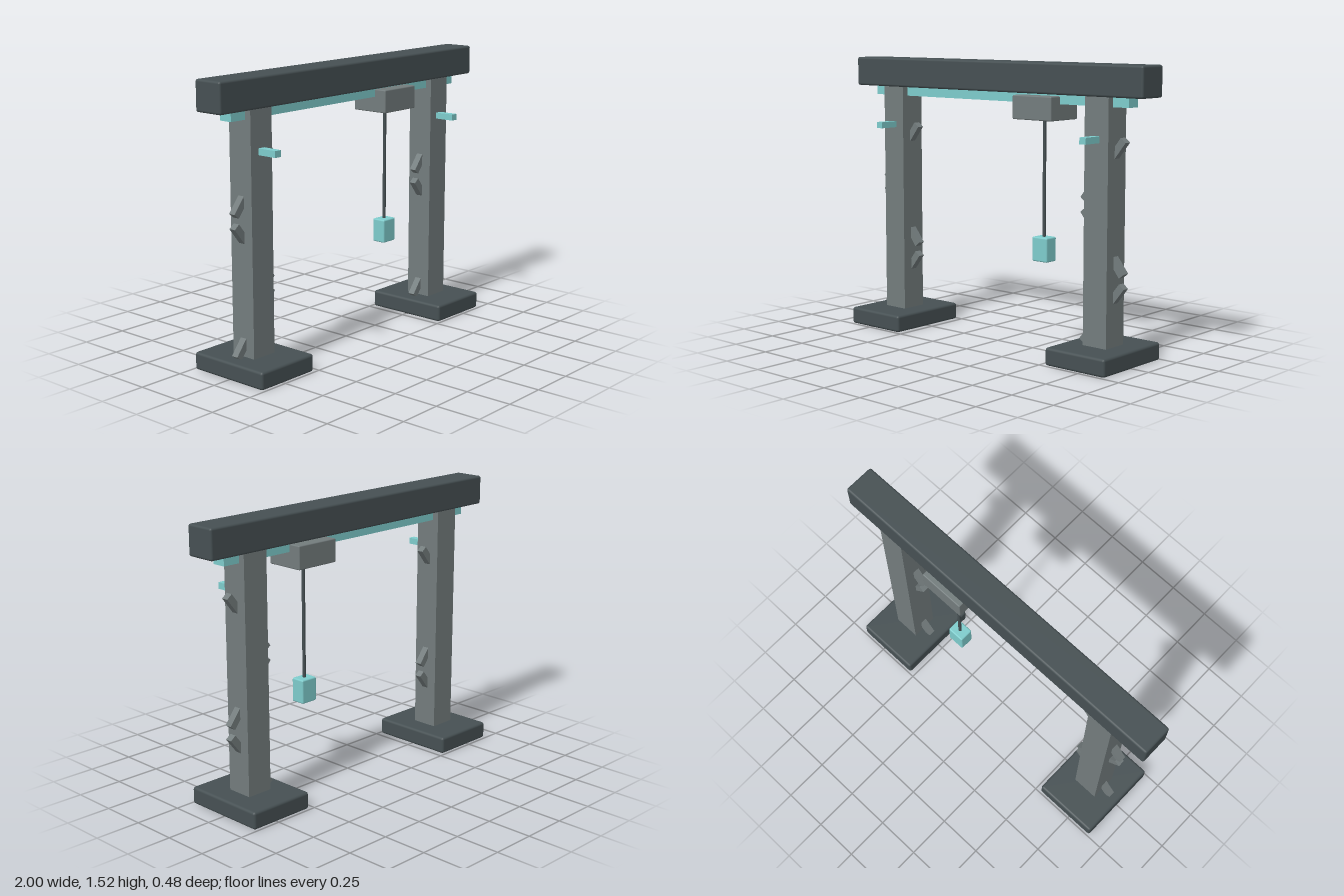
import * as THREE from 'three';
import { RoundedBoxGeometry } from 'three/addons/geometries/RoundedBoxGeometry.js';

const material = (name, color) => {
  const m = new THREE.MeshStandardMaterial({ color });
  m.name = name;
  return m;
};

export function createModel() {
  const model = new THREE.Group();
  model.name = 'gantryCrane';
  const dark = material('darkSteel', 0x465053);
  const grey = material('greySteel', 0x737c7d);
  const teal = material('tealAccent', 0x7ecccc);

  // Box helper: size, centre, optional edge radius
  const box = (parent, name, mat, [w, h, d], [x, y, z], radius = 0) => {
    const geometry = radius
      ? new RoundedBoxGeometry(w, h, d, 2, radius)
      : new THREE.BoxGeometry(w, h, d);
    const mesh = new THREE.Mesh(geometry, mat);
    mesh.name = name;
    mesh.position.set(x, y, z);
    parent.add(mesh);
    return mesh;
  };

  // Overhead beam and the rail beneath it
  box(model, 'topBeam', dark, [2, 0.16, 0.17], [0, 1.44, 0], 0.012);
  box(model, 'rail', teal, [1.77, 0.055, 0.075], [0, 1.3375, 0]);

  // Two supports: foot, leg, lamp peg and zigzag lacing bars through the leg
  for (const side of [-1, 1]) {
    const support = new THREE.Group();
    support.name = side > 0 ? 'leftSupport' : 'rightSupport';
    support.position.x = side * 0.716;
    box(support, 'foot', dark, [0.375, 0.094, 0.48], [0, 0.047, 0], 0.014);
    box(support, 'leg', grey, [0.147, 1.28, 0.147], [0, 0.725, 0]);
    box(support, 'lampPeg', teal, [0.04, 0.034, 0.13], [0, 1.149, 0.12]);
    for (let i = 0; i < 3; i++) {
      const bar = box(support, 'lacingBar', grey, [0.4, 0.038, 0.038], [0, 0.255 + i * 0.3675, 0]);
      bar.rotation.z = (i % 2 ? -1 : 1) * 0.905;
    }
    model.add(support);
  }

  // Trolley with its cable and hanging load
  const hoist = new THREE.Group();
  hoist.name = 'hoist';
  hoist.position.x = 0.325;
  box(hoist, 'trolley', grey, [0.258, 0.125, 0.216], [0, 1.288, 0], 0.006);
  const cable = new THREE.Mesh(new THREE.CylinderGeometry(0.009, 0.009, 0.65, 8), dark);
  cable.name = 'cable';
  cable.position.y = 0.92;
  hoist.add(cable);
  box(hoist, 'load', teal, [0.1, 0.13, 0.08], [0, 0.545, 0], 0.008);
  model.add(hoist);

  return model;
}
